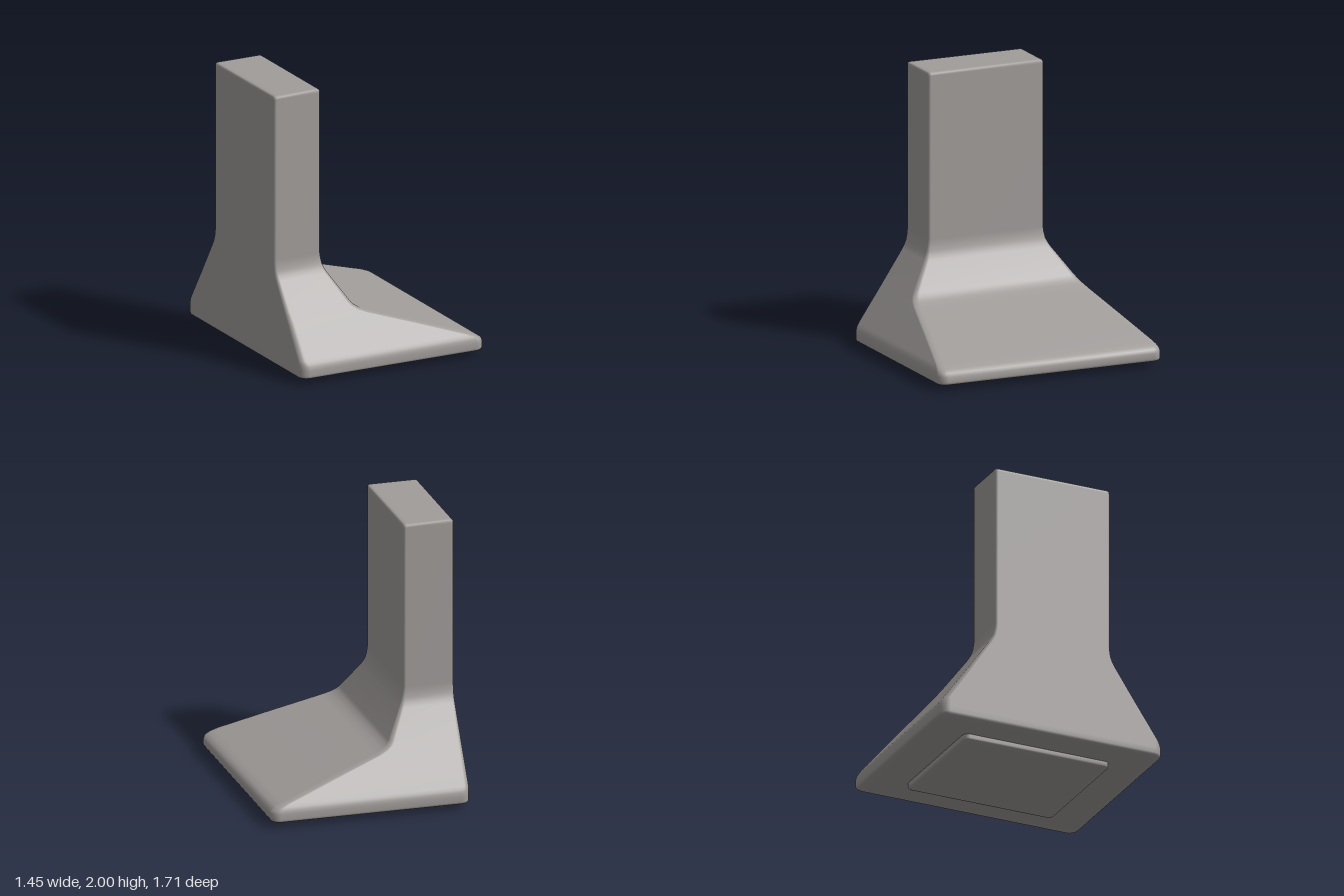
import * as THREE from 'three';

const CORNER = 6; // segments per rounded corner

// Horizontal rounded rectangle from x0 to x1, half depth w, corner radius r
function ring(y, x0, x1, w, r) {
  const pts = [];
  const centres = [[x1 - r, w - r], [x0 + r, w - r], [x0 + r, r - w], [x1 - r, r - w]];
  centres.forEach(([cx, cz], k) => {
    for (let i = 0; i <= CORNER; i++) {
      const a = (k + i / CORNER) * Math.PI / 2;
      pts.push([cx + r * Math.cos(a), y, cz + r * Math.sin(a)]);
    }
  });
  return pts;
}

// Skin stacked rings and close both ends with flat caps
function loft(rings) {
  const n = rings[0].length, pos = rings.flat(2), index = [];
  for (let i = 0; i < rings.length - 1; i++) {
    for (let j = 0; j < n; j++) {
      const k = (j + 1) % n;
      const a = i * n + j, b = i * n + k, c = a + n, d = b + n;
      index.push(a, c, b, b, c, d);
    }
  }
  [[rings[0], false], [rings[rings.length - 1], true]].forEach(([loop, top]) => {
    const start = pos.length / 3;
    pos.push(...loop.flat());
    for (let j = 1; j < n - 1; j++) {
      if (top) index.push(start, start + j + 1, start + j);
      else index.push(start, start + j, start + j + 1);
    }
  });
  const g = new THREE.BufferGeometry();
  g.setAttribute('position', new THREE.Float32BufferAttribute(pos, 3));
  g.setIndex(index);
  g.computeVertexNormals();
  return g;
}

export function createModel() {
  const group = new THREE.Group();
  const material = new THREE.MeshStandardMaterial({ color: 0xa09c9a });
  const add = (name, rings) => {
    const mesh = new THREE.Mesh(loft(rings), material);
    mesh.name = name;
    group.add(mesh);
  };

  // Hood and chimney: height, back x, front x, half depth, corner radius
  add('hoodAndChimney', [
    // flat underside and rounded rim
    [0.04, -0.66, 0.66, 0.79, 0.05],
    [0.04, -0.71, 0.705, 0.842, 0.055],
    [0.046, -0.72, 0.715, 0.852, 0.062],
    [0.06, -0.724, 0.722, 0.856, 0.065],
    [0.1, -0.724, 0.722, 0.856, 0.065],
    [0.125, -0.724, 0.713, 0.852, 0.063],
    [0.145, -0.724, 0.683, 0.843, 0.057],
    [0.165, -0.724, 0.635, 0.83, 0.05],
    // shallow front slope
    [0.28, -0.724, 0.28, 0.75, 0.045],
    [0.395, -0.724, -0.085, 0.669, 0.04],
    // bend into the steep neck
    [0.42, -0.724, -0.147, 0.651, 0.038],
    [0.445, -0.724, -0.185, 0.634, 0.036],
    [0.47, -0.724, -0.207, 0.616, 0.034],
    [0.66, -0.724, -0.32, 0.485, 0.025],
    // blend into the chimney
    [0.69, -0.724, -0.335, 0.468, 0.023],
    [0.72, -0.724, -0.346, 0.455, 0.021],
    [0.76, -0.724, -0.354, 0.447, 0.02],
    [0.8, -0.724, -0.358, 0.443, 0.02],
    [1.975, -0.724, -0.358, 0.443, 0.02],
    // softened top edge running into a flat top
    [1.99, -0.722, -0.36, 0.441, 0.019],
    [1.997, -0.716, -0.366, 0.435, 0.016],
    [2, -0.705, -0.377, 0.424, 0.012],
    [2, -0.675, -0.407, 0.394, 0.01],
  ].map((s) => ring(...s)));

  // Filter panel beneath the hood
  add('filterPanel', [
    [0, -0.43, 0.425, 0.515, 0.025],
    [0, -0.461, 0.456, 0.546, 0.03],
    [0.004, -0.471, 0.466, 0.556, 0.037],
    [0.012, -0.476, 0.471, 0.561, 0.04],
    [0.042, -0.476, 0.471, 0.561, 0.04],
  ].map((s) => ring(...s)));

  return group;
}
